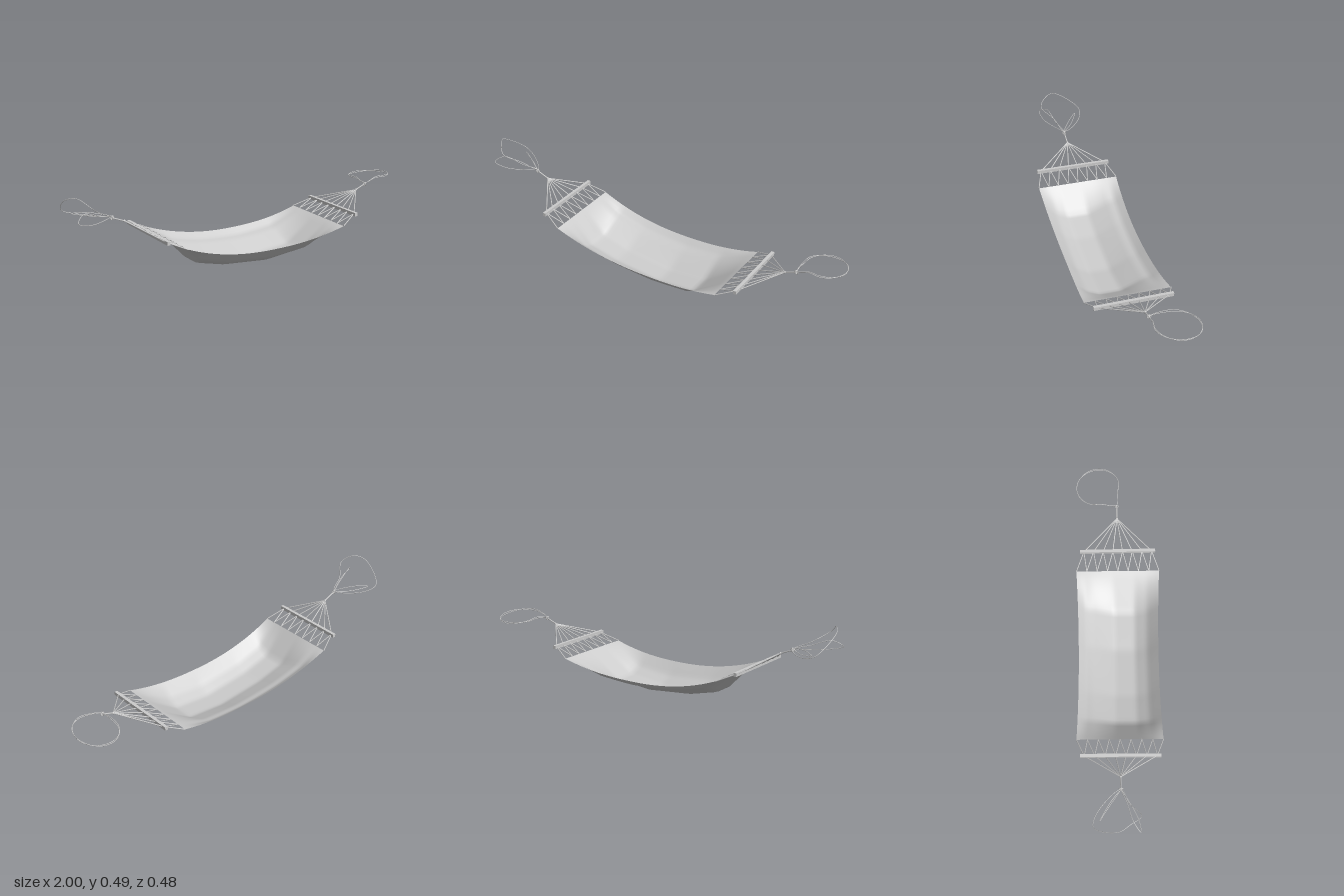
import * as THREE from 'three';

const V = (x, y, z) => new THREE.Vector3(x, y, z);

// Linear lookup in a short list of [position, value] pairs
function sample(table, t) {
  let i = 1;
  while (i < table.length - 1 && t > table[i][0]) i++;
  const [a, va] = table[i - 1], [b, vb] = table[i];
  return va + (vb - va) * THREE.MathUtils.clamp((t - a) / (b - a), 0, 1);
}

// Lowest line along the cloth, and sag across it from front to back
const BELLY = [[-0.48, 0.2], [-0.36, 0.07], [-0.2, 0.028], [0.06, 0], [0.27, 0.018], [0.46, 0.147]];
const SAG = [[0, 0], [0.14, 0.65], [0.29, 1], [0.55, 1], [0.82, 0.42], [0.91, 0.32], [1, 0]];

// Cloth surface: u runs along x, v from front edge to back edge
function clothPoint(u, v) {
  const x = -0.48 + 0.94 * u;
  const edge = 0.098 + 0.401 * Math.abs(x - 0.07) ** 2.29;
  const depth = Math.max(0, edge - sample(BELLY, x)) * sample(SAG, v);
  const front = 0.195 + 0.045 * u * u;
  const back = -0.2 - 0.04 * (1 - u) ** 2;
  return V(x - 0.01 + 0.02 * v, edge - depth, THREE.MathUtils.lerp(front, back, v));
}

export function createModel() {
  const group = new THREE.Group();
  group.name = 'hammock';
  const material = new THREE.MeshStandardMaterial({ color: 0xcccccc });
  const clothMaterial = new THREE.MeshStandardMaterial({ color: 0xcccccc, side: THREE.DoubleSide });

  const add = (geometry, name, parent, mat = material) => {
    const mesh = new THREE.Mesh(geometry, mat);
    mesh.name = name;
    parent.add(mesh);
    return mesh;
  };

  // Straight cord between two points
  const cord = (a, b, r, name, parent) => {
    const mesh = add(new THREE.CylinderGeometry(r, r, a.distanceTo(b), 6), name, parent);
    mesh.position.copy(a).lerp(b, 0.5);
    mesh.quaternion.setFromUnitVectors(V(0, 1, 0), b.clone().sub(a).normalize());
  };

  // Closed loop of loose rope through a few points
  const ropeLoop = (points, parent) => {
    const path = new THREE.CatmullRomCurve3(points, true);
    add(new THREE.TubeGeometry(path, 90, 0.0017, 5, true), 'hangingRope', parent);
  };

  // Sagging cloth bed
  const cloth = new THREE.PlaneGeometry(1, 1, 48, 32);
  const pos = cloth.attributes.position;
  for (let i = 0; i < pos.count; i++) {
    const p = clothPoint(pos.getX(i) + 0.5, pos.getY(i) + 0.5);
    pos.setXYZ(i, p.x, p.y, p.z);
  }
  cloth.computeVertexNormals();
  add(cloth, 'clothBed', group, clothMaterial);

  // One suspension end: spreader bar from a to b, cords, knot, link and rings
  const suspension = (name, u, a, b, apex, ringAt) => {
    const end = new THREE.Group();
    end.name = name;
    group.add(end);

    const bar = add(new THREE.BoxGeometry(0.016, 0.018, a.distanceTo(b)), 'spreaderBar', end);
    bar.position.copy(a).lerp(b, 0.5);
    bar.rotation.y = Math.atan2(a.x - b.x, a.z - b.z);

    // Cords fan out from the apex, then zigzag to the cloth
    const cords = 8;
    for (let i = 0; i < cords; i++) {
      const hole = a.clone().lerp(b, 0.05 + 0.9 * i / (cords - 1));
      cord(apex, hole, 0.0028, 'fanCord', end);
      for (const k of [i, i + 1]) cord(hole, clothPoint(u, k / cords), 0.0028, 'zigzagCord', end);
    }

    add(new THREE.SphereGeometry(0.006, 10, 8), 'knot', end).position.copy(apex);
    cord(apex, ringAt, 0.0035, 'link', end);
    for (const turn of [0, Math.PI / 2]) {
      const ring = add(new THREE.TorusGeometry(0.009, 0.0025, 6, 20), 'ring', end);
      ring.position.copy(ringAt);
      ring.rotation.y = turn;
    }
    return end;
  };

  const rightEnd = suspension('rightEnd', 0, V(-0.585, 0.244, 0.176), V(-0.565, 0.244, -0.225),
    V(-0.7, 0.325, -0.032), V(-0.765, 0.352, -0.034));
  const leftEnd = suspension('leftEnd', 1, V(0.55, 0.184, 0.225), V(0.565, 0.184, -0.175),
    V(0.72, 0.245, 0.03), V(0.78, 0.268, 0.033));

  // High rope: a tall loose loop and a smaller one inside it
  const knotHigh = V(-0.77, 0.36, -0.035);
  ropeLoop([knotHigh, V(-0.87, 0.36, -0.15), V(-0.95, 0.385, -0.175), V(-0.995, 0.472, -0.06),
    V(-0.965, 0.49, 0), V(-0.92, 0.45, 0.053), V(-0.85, 0.4, 0)], rightEnd);
  ropeLoop([knotHigh, V(-0.83, 0.357, 0), V(-0.92, 0.364, 0.04), V(-0.985, 0.385, 0.047),
    V(-0.94, 0.414, 0.015), V(-0.84, 0.38, -0.01)], rightEnd);
  ropeLoop([knotHigh, V(-0.86, 0.38, -0.1), V(-0.92, 0.374, -0.145), V(-0.83, 0.357, -0.09)], rightEnd);

  // Low rope: two strands side by side in a nearly level oval
  for (const side of [-1, 1]) {
    const oval = t => V(0.893 + (0.105 + 0.0015 * side) * Math.cos(t),
      0.284 + 0.013 * Math.sin(t) + 0.004 * side * Math.cos(2 * t), -0.062 + 0.113 * Math.sin(t));
    const points = [V(0.785, 0.275, 0.033)];
    for (let i = 1; i < 12; i++) points.push(oval(2.5 + i * Math.PI / 6));
    ropeLoop(points, leftEnd);
  }
  return group;
}
